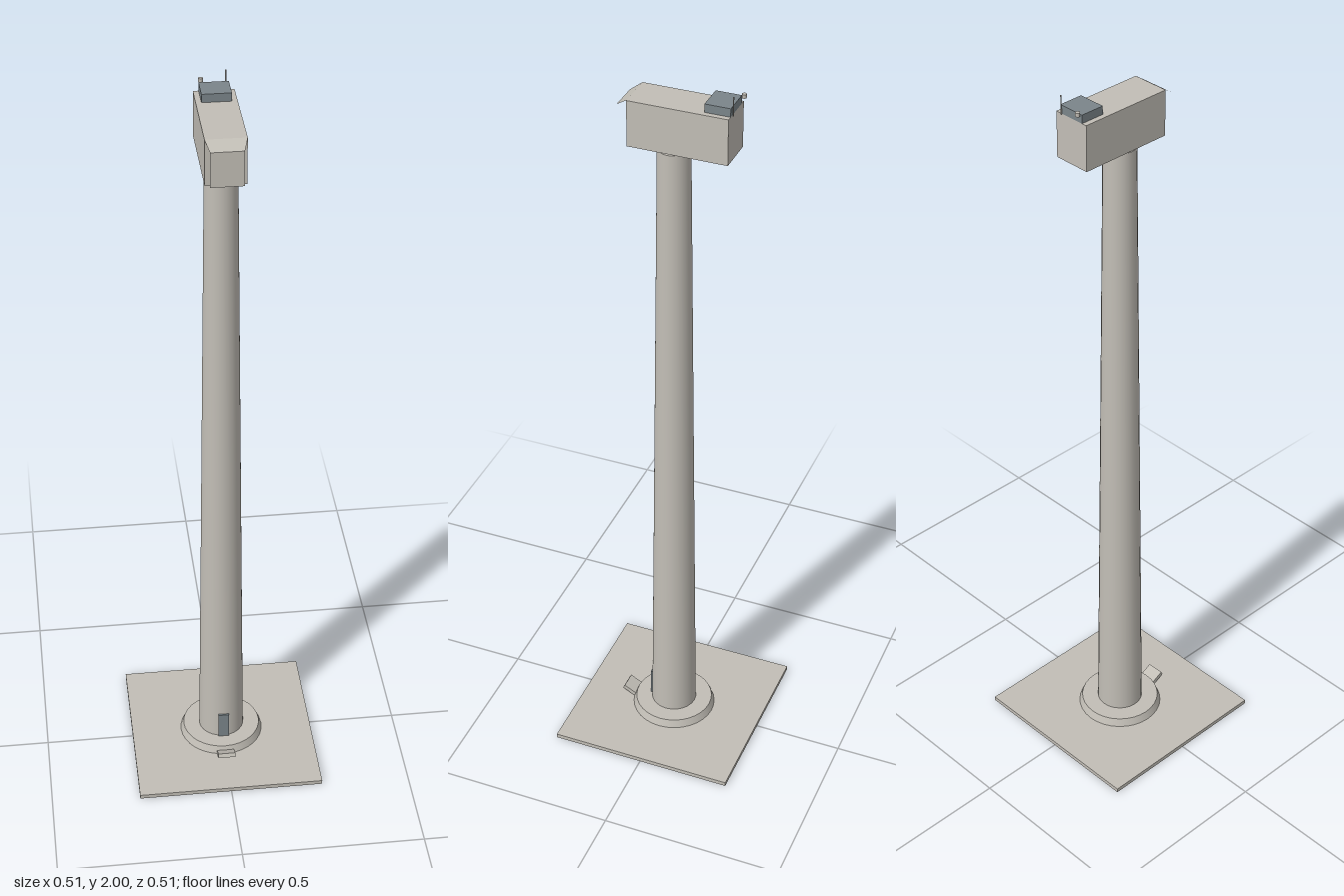
import * as THREE from 'three';

export function createModel() {
  const model = new THREE.Group();
  model.name = 'windTurbineTower';

  const paint = new THREE.MeshStandardMaterial({ color: 0xc2beb6 });
  paint.name = 'warmGrey';
  const slate = new THREE.MeshStandardMaterial({ color: 0x7b858a });
  slate.name = 'slateGrey';

  const add = (name, geometry, material, x, y, z) => {
    const mesh = new THREE.Mesh(geometry, material);
    mesh.name = name;
    mesh.position.set(x, y, z);
    model.add(mesh);
    return mesh;
  };
  const box = (name, material, w, h, d, x, y, z) =>
    add(name, new THREE.BoxGeometry(w, h, d), material, x, y, z);

  // Ground slab and foundation ring
  box('groundSlab', paint, 0.512, 0.012, 0.512, 0, 0.006, 0);
  add('foundationRing', new THREE.CylinderGeometry(0.108, 0.116, 0.022, 32), paint, 0, 0.023, 0);

  // Tapered tower
  add('tower', new THREE.CylinderGeometry(0.042, 0.063, 1.785, 24, 4), paint, 0, 0.9265, 0);

  // Door and tilted entry step at the foot
  box('door', slate, 0.03, 0.09, 0.008, 0, 0.068, 0.062);
  box('entryStep', paint, 0.048, 0.012, 0.05, 0, 0.022, 0.125).rotation.x = -0.48;

  // Machine housing
  box('housing', paint, 0.102, 0.122, 0.259, 0, 1.889, -0.0275);

  // Nose plates: sloped top and bottom and a flat front, open at the sides
  const back = { x: 0.051, top: 1.95, bottom: 1.828, z: 0.102 };
  const front = { x: 0.041, top: 1.93, bottom: 1.838, z: 0.131 };
  const corner = (ring, side, level) => [side * ring.x, ring[level], ring.z];
  const quads = [
    [corner(back, -1, 'top'), corner(front, -1, 'top'), corner(front, 1, 'top'), corner(back, 1, 'top')],
    [corner(front, -1, 'top'), corner(front, -1, 'bottom'), corner(front, 1, 'bottom'), corner(front, 1, 'top')],
    [corner(front, -1, 'bottom'), corner(back, -1, 'bottom'), corner(back, 1, 'bottom'), corner(front, 1, 'bottom')],
  ];
  const points = quads.flatMap(([a, b, c, d]) => [a, b, c, a, c, d]).flat();
  const nose = new THREE.BufferGeometry();
  nose.setAttribute('position', new THREE.Float32BufferAttribute(points, 3));
  nose.computeVertexNormals();
  add('housingNose', nose, paint, 0, 0, 0);

  // Roof cooler, mast and wind sensor
  box('roofCooler', slate, 0.074, 0.022, 0.066, 0, 1.961, -0.124);
  add('mast', new THREE.CylinderGeometry(0.0015, 0.0015, 0.05, 8), paint, 0.03, 1.975, -0.161);
  add('windSensor', new THREE.CylinderGeometry(0.006, 0.006, 0.01, 12), paint, -0.031, 1.975, -0.165);

  return model;
}
